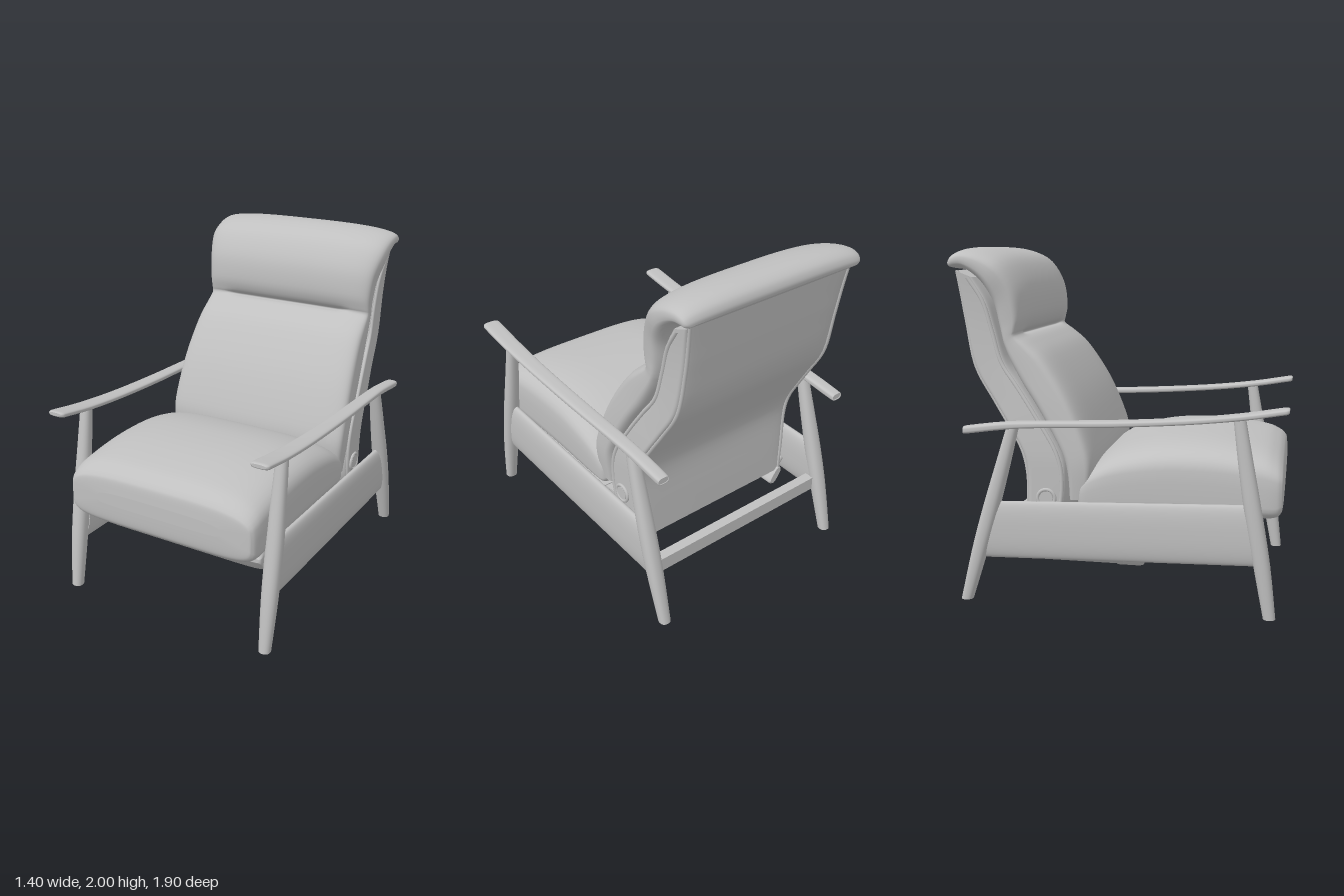
import * as THREE from 'three';

const V = (x, y, z) => new THREE.Vector3(x, y, z);

// Rows of numbers, smoothed with k steps between stations (Catmull-Rom)
function smooth(rows, k) {
  const out = [], at = i => rows[Math.max(0, Math.min(rows.length - 1, i))];
  for (let i = 0; i < rows.length - 1; i++) {
    for (let s = 0; s < k; s++) {
      const t = s / k;
      out.push(rows[i].map((b, j) => {
        const a = at(i - 1)[j], c = at(i + 1)[j], d = at(i + 2)[j];
        return b + 0.5 * t * (c - a + t * (2 * a - 5 * b + 4 * c - d + t * (3 * (b - c) + d - a)));
      }));
    }
  }
  out.push(rows[rows.length - 1]);
  return out;
}

// Superellipse loop around a centre with half axes u and v; nLow squares the -v half
function ring(c, u, v, n, nLow = n, seg = 48) {
  const pw = (a, e) => Math.sign(a) * Math.pow(Math.abs(a), 2 / e);
  return Array.from({ length: seg }, (_, i) => {
    const a = i / seg * Math.PI * 2, e = i <= seg / 2 ? n : nLow;
    return c.clone().addScaledVector(u, pw(Math.cos(a), e)).addScaledVector(v, pw(Math.sin(a), e));
  });
}

// Skin over loops, closed with flat end caps
function loft(rings) {
  const pos = [], idx = [], m = rings[0].length;
  const add = p => pos.push(p.x, p.y, p.z) / 3 - 1;
  rings.forEach(r => r.forEach(add));
  for (let i = 0; i < rings.length - 1; i++) {
    for (let j = 0; j < m; j++) {
      const a = i * m + j, b = i * m + (j + 1) % m;
      idx.push(a, b, a + m, b, b + m, a + m);
    }
  }
  [rings[0], rings[rings.length - 1]].forEach((r, e) => {
    const c = add(r.reduce((s, p) => s.add(p), V(0, 0, 0)).divideScalar(m));
    const first = c + 1;
    r.forEach(add);
    for (let j = 0; j < m; j++) {
      const a = first + j, b = first + (j + 1) % m;
      if (e) idx.push(c, a, b); else idx.push(c, b, a);
    }
  });
  // Turn faces outward if the loops run the other way
  let vol = 0;
  const p = i => V(pos[3 * i], pos[3 * i + 1], pos[3 * i + 2]);
  for (let i = 0; i < idx.length; i += 3) vol += p(idx[i]).dot(p(idx[i + 1]).cross(p(idx[i + 2])));
  if (vol < 0) idx.reverse();
  const g = new THREE.BufferGeometry();
  g.setAttribute('position', new THREE.Float32BufferAttribute(pos, 3));
  g.setIndex(idx);
  g.computeVertexNormals();
  return g;
}

// Stations [z, bottom, top, halfWidth] along z
const alongZ = (rows, n, k, x = 0, nLow = n) => loft(smooth(rows, k).map(([z, b, t, w]) =>
  ring(V(x, (b + t) / 2, z), V(w, 0, 0), V(0, (t - b) / 2, 0), n, nLow)));

// Stations [frontZ, frontY, rearZ, rearY, halfWidth, exponent, pinch] up the back;
// pinch sinks the middle of the front face to form a seam
const upBack = rows => loft(smooth(rows, 4).map(([fz, fy, bz, by, w, n, pinch = 0]) => {
  const v = V(0, (fy - by) / 2, (fz - bz) / 2);
  return ring(V(0, (fy + by) / 2, (fz + bz) / 2), V(w, 0, 0), v, n, n, 64).map((p, i) =>
    i < 32 ? p.addScaledVector(v.clone().normalize(), -pinch * (1 - THREE.MathUtils.smoothstep(Math.abs(p.x), 0.34, 0.46))) : p);
}));

// Round tapered leg, stations [y, z, x, radius]
const leg = (rows, s) => loft(smooth(rows, 4).map(([y, z, x, r]) =>
  ring(V(s * x, y, z), V(r, 0, 0), V(0, 0, r), 2.3, 2.3, 24)));

export function createModel() {
  const group = new THREE.Group();
  const grey = new THREE.MeshStandardMaterial({ color: 0xc0c0c0 });
  grey.name = 'grey';
  const add = (name, geo, x = 0, y = 0, z = 0) => {
    const mesh = new THREE.Mesh(geo, grey);
    mesh.name = name;
    mesh.position.set(x, y, z);
    group.add(mesh);
    return mesh;
  };

  // Seat cushion
  add('seatCushion', alongZ([
    [0.934, 0.66, 0.74, 0.4], [0.928, 0.58, 0.81, 0.56], [0.915, 0.54, 0.84, 0.593],
    [0.88, 0.518, 0.87, 0.607], [0.8, 0.512, 0.903, 0.612], [0.6, 0.512, 0.933, 0.612],
    [0.4, 0.512, 0.94, 0.612], [0.2, 0.512, 0.925, 0.612], [0.0, 0.512, 0.875, 0.612],
    [-0.12, 0.515, 0.81, 0.608], [-0.185, 0.525, 0.745, 0.6], [-0.21, 0.56, 0.69, 0.575]], 3.6, 4, 0, 6));

  // Back pad with headrest rolled over the top
  add('backPad', upBack([
    [-0.14, 0.60, -0.28, 0.59, 0.585, 5, 0], [-0.11, 0.78, -0.29, 0.74, 0.605, 5, 0],
    [-0.14, 0.93, -0.325, 0.86, 0.607, 5, 0], [-0.24, 1.17, -0.45, 1.08, 0.595, 5, 0],
    [-0.38, 1.385, -0.55, 1.23, 0.578, 5, 0], [-0.48, 1.475, -0.62, 1.36, 0.568, 4.6, 0],
    [-0.535, 1.51, -0.65, 1.44, 0.563, 4.3, 0.005], [-0.548, 1.53, -0.66, 1.475, 0.563, 4.1, 0.035],
    [-0.537, 1.555, -0.67, 1.505, 0.564, 4, 0.005], [-0.517, 1.64, -0.69, 1.56, 0.567, 3.8, 0],
    [-0.535, 1.79, -0.715, 1.66, 0.58, 3.5, 0], [-0.62, 1.93, -0.75, 1.74, 0.605, 3.2, 0],
    [-0.74, 1.99, -0.79, 1.80, 0.61, 3, 0], [-0.86, 2.0, -0.84, 1.85, 0.61, 3, 0],
    [-0.925, 1.975, -0.88, 1.865, 0.605, 3, 0], [-0.948, 1.935, -0.905, 1.872, 0.595, 3, 0],
    [-0.945, 1.905, -0.925, 1.882, 0.57, 3, 0]]));

  // Back shell behind the pad, reaching down between the rails
  const shell = [
    [-0.44, 0.32, -0.51, 0.31, 0.575, 12], [-0.3, 0.5, -0.51, 0.5, 0.585, 12],
    [-0.27, 0.72, -0.51, 0.74, 0.592, 12], [-0.30, 0.86, -0.54, 0.87, 0.592, 12],
    [-0.43, 1.08, -0.625, 1.02, 0.58, 12], [-0.53, 1.23, -0.70, 1.14, 0.567, 12],
    [-0.62, 1.36, -0.81, 1.33, 0.555, 12], [-0.67, 1.53, -0.86, 1.58, 0.55, 12],
    [-0.72, 1.70, -0.885, 1.74, 0.555, 12], [-0.80, 1.83, -0.905, 1.87, 0.565, 12]];
  add('backShell', upBack(shell));

  // Lower front panel, curving down and back
  add('footPanel', alongZ([
    [0.815, 0.495, 0.525, 0.575], [0.80, 0.475, 0.53, 0.587], [0.74, 0.405, 0.53, 0.57],
    [0.64, 0.345, 0.5, 0.535], [0.5, 0.305, 0.44, 0.5], [0.36, 0.296, 0.38, 0.485],
    [0.31, 0.3, 0.37, 0.48]], 8, 3));

  // Underside panels and rear cross bar
  add('underPanel', new THREE.BoxGeometry(0.98, 0.04, 0.34), 0, 0.37, 0.12);
  add('underPanel', new THREE.BoxGeometry(0.98, 0.04, 0.36), 0, 0.40, -0.25).rotation.x = 0.1;
  add('rearCrossBar', new THREE.BoxGeometry(1.24, 0.085, 0.06), 0, 0.318, -0.73);

  for (const s of [-1, 1]) {
    // Armrest: broad in front, narrower behind
    add('armrest', alongZ([
      [0.952, 1.142, 1.161, 0.04], [0.94, 1.133, 1.165, 0.052], [0.9, 1.126, 1.16, 0.055],
      [0.7, 1.093, 1.127, 0.054], [0.4, 1.06, 1.094, 0.05], [0.0, 1.032, 1.068, 0.046],
      [-0.4, 1.016, 1.052, 0.042], [-0.6, 1.0, 1.042, 0.04], [-0.82, 0.97, 1.014, 0.037],
      [-0.838, 0.974, 1.008, 0.03]], 3.2, 3, s * 0.647));

    add('frontLeg', leg([[0, 0.872, 0.65, 0.034], [0.3, 0.825, 0.65, 0.046],
      [0.6, 0.772, 0.648, 0.048], [0.85, 0.73, 0.645, 0.042], [1.11, 0.69, 0.643, 0.033]], s));
    add('rearLeg', leg([[0, -0.853, 0.65, 0.034], [0.3, -0.768, 0.65, 0.046],
      [0.55, -0.695, 0.648, 0.048], [0.8, -0.622, 0.645, 0.042], [1.02, -0.56, 0.643, 0.034]], s));

    // Side rail, gently convex, with ends raked to follow the legs
    add('sideRail', loft([[0.745, 0.63, 0.795, 0.29], [-0.69, 0.583, -0.78, 0.25]].map(([tz, ty, bz, by]) =>
      ring(V(s * 0.64, (ty + by) / 2, (tz + bz) / 2), V(0.036, 0, 0), V(0, (ty - by) / 2, (tz - bz) / 2), 2.4))));

    // Piping along the front and rear edges of the shell side
    for (const [z, y, shift, inset] of [[0, 1, -0.03, 0.995], [2, 3, 0.008, 0.955]]) {
      const path = new THREE.CatmullRomCurve3(shell.map(r => V(s * r[4] * inset, r[y], r[z] + shift)));
      add('piping', new THREE.TubeGeometry(path, 48, 0.012, 8));
    }

    // Hinge boss at the foot of the back
    add('hinge', new THREE.CylinderGeometry(0.04, 0.04, 0.06, 24), s * 0.57, 0.6, -0.39).rotation.z = Math.PI / 2;
    add('hingeRim', new THREE.TorusGeometry(0.05, 0.01, 8, 32), s * 0.593, 0.6, -0.39).rotation.y = Math.PI / 2;

    // Tilted slide plates and links of the reclining mechanism, stations [z, scale]
    const plate = (stations, x, y) => loft(stations.map(([z, k]) =>
      ring(V(s * x, y, z), V(s * 0.036 * k, 0.052 * k, 0), V(s * 0.023 * k, -0.016 * k, 0), 3.5)));
    add('slidePlate', plate([[0.04, 1], [-0.51, 1], [-0.52, 0.85]], 0.525, 0.27));
    add('slideEnd', plate([[0.16, 0.6], [0.15, 0.9], [0.13, 1], [0, 1]], 0.512, 0.26));
    for (const z of [0.1, -0.47]) {
      const link = new THREE.LineCurve3(V(s * 0.53, 0.285, z), V(s * 0.605, 0.365, z));
      add('linkArm', new THREE.TubeGeometry(link, 2, 0.024, 10));
    }
  }
  return group;
}
